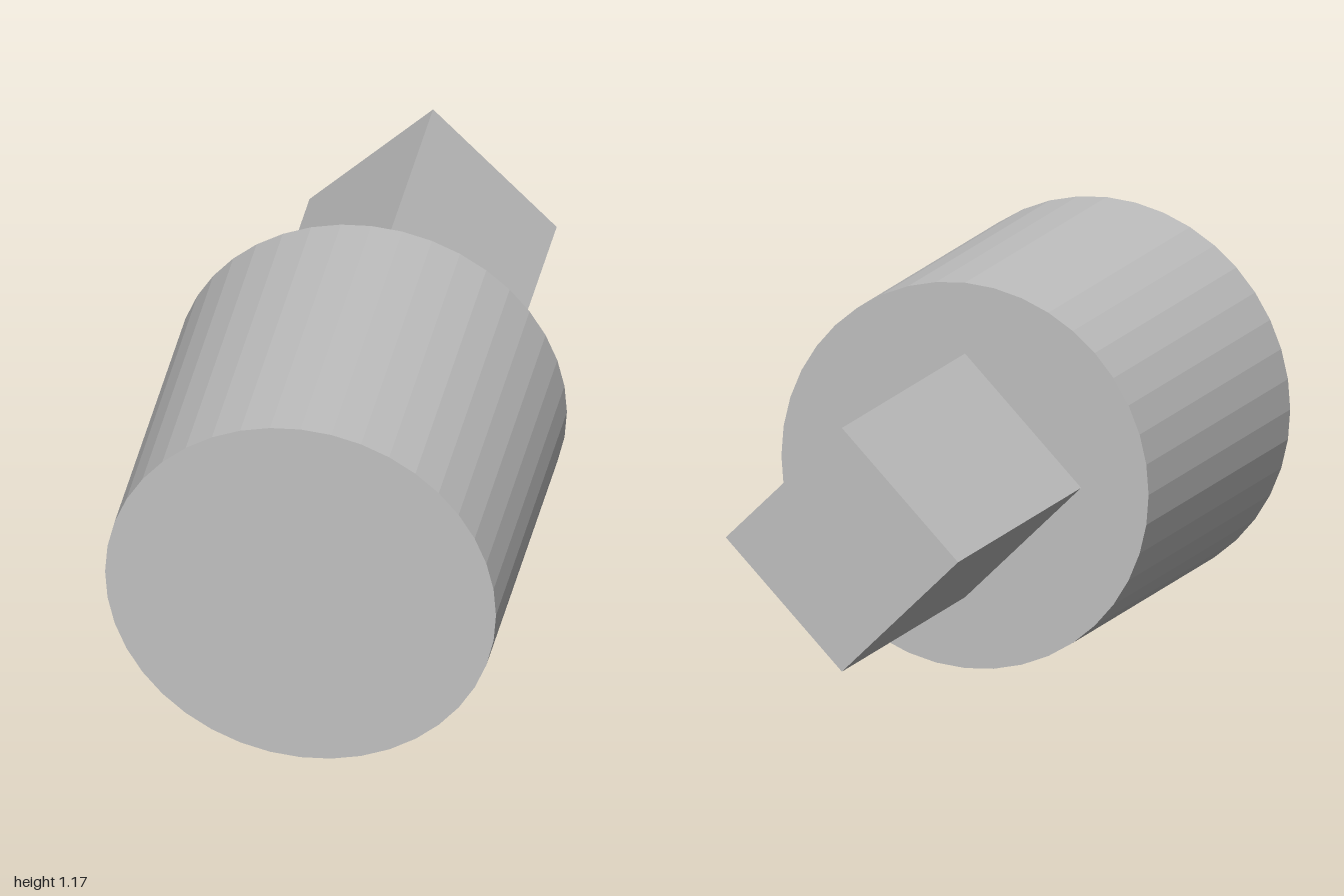
import * as THREE from 'three';

export function createModel() {
  const model = new THREE.Group();
  const grey = new THREE.MeshStandardMaterial({ color: 0xc0c0c0, flatShading: true });
  grey.name = 'plain grey';

  const axisY = 0.585; // height of the shared axis
  const jointZ = -0.07; // where the shank meets the head

  // Prism lying along z, with a corner pointing straight up
  function addPrism(name, radius, sides, zBack, zFront) {
    const geometry = new THREE.CylinderGeometry(radius, radius, zFront - zBack, sides);
    geometry.rotateX(Math.PI / 2);
    const mesh = new THREE.Mesh(geometry, grey);
    mesh.name = name;
    mesh.position.set(0, axisY, (zBack + zFront) / 2);
    model.add(mesh);
  }

  addPrism('roundHead', 0.585, 40, jointZ, 1);
  addPrism('squareShank', 0.37, 4, -1, jointZ);

  return model;
}
